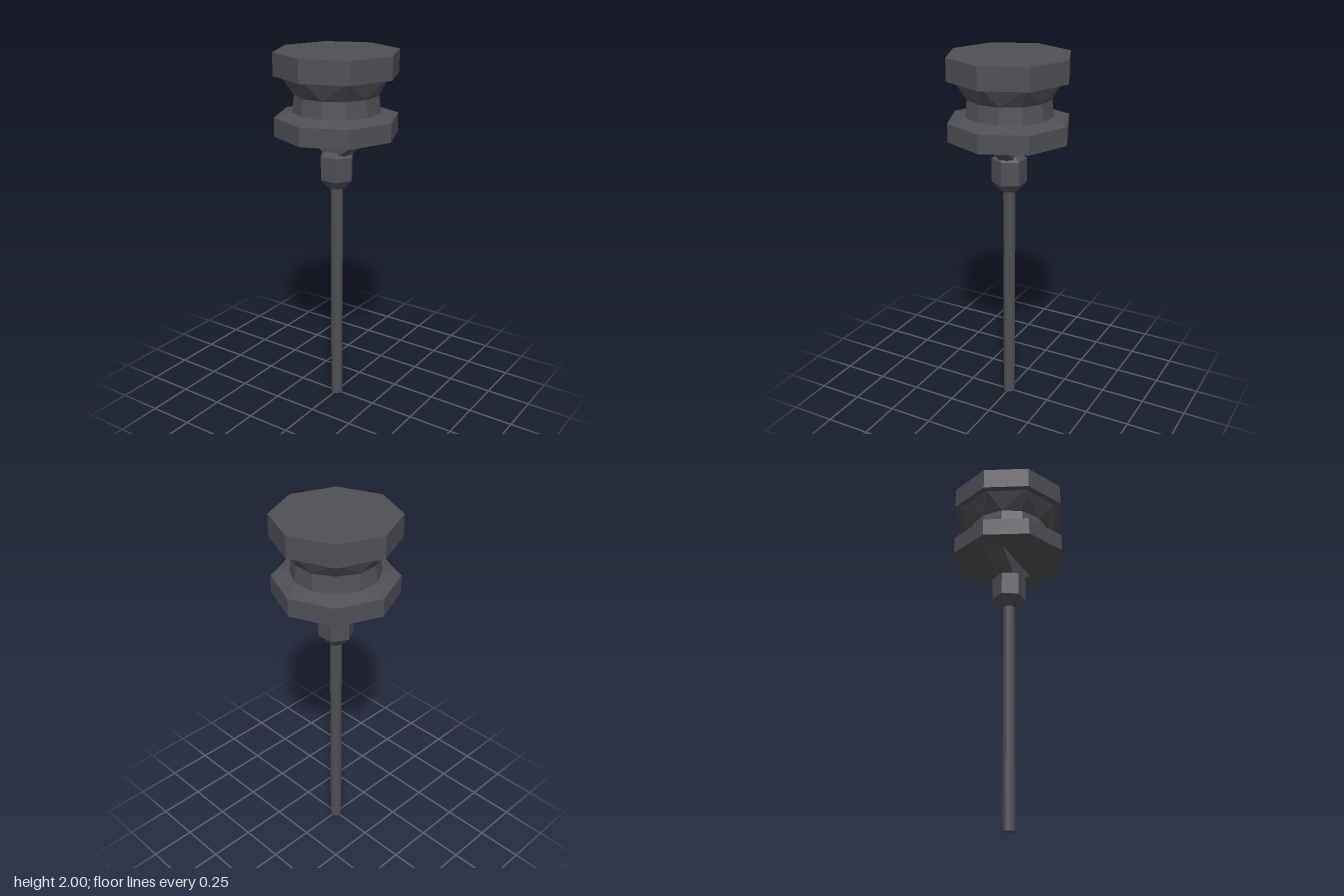
import * as THREE from 'three';
import { ConvexGeometry } from 'three/addons/geometries/ConvexGeometry.js';

const darkGrey = new THREE.MeshStandardMaterial({ color: 0x504f55, flatShading: true });
darkGrey.name = 'darkGrey';

// Ring of n points at height y; turn 0 puts the first point on +x
function ring(n, r, y, turn = 0) {
  return Array.from({ length: n }, (_, i) => {
    const a = turn + (i * 2 * Math.PI) / n;
    return new THREE.Vector3(r * Math.cos(a), y, r * Math.sin(a));
  });
}

export function createModel() {
  const group = new THREE.Group();

  const add = (name, geometry) => {
    const mesh = new THREE.Mesh(geometry, darkGrey);
    mesh.name = name;
    group.add(mesh);
  };
  // Straight or tapered prism with a corner on +x
  const prism = (name, sides, rTop, rBottom, y0, y1) => {
    const g = new THREE.CylinderGeometry(rTop, rBottom, y1 - y0, sides, 1, false, Math.PI / 2);
    g.translate(0, (y0 + y1) / 2, 0);
    add(name, g);
  };

  // Pole
  prism('pole', 12, 0.033, 0.033, 0, 1.28);

  // Six-sided collar with tapered ends
  prism('collarBottom', 6, 0.095, 0.05, 1.27, 1.32);
  prism('collar', 6, 0.095, 0.095, 1.32, 1.45);
  prism('collarTop', 6, 0.06, 0.095, 1.45, 1.475);

  // Bracket: an eight-sided stub that spreads sideways up to the lower disc
  const stub = ring(8, 0.054, 1.44, Math.PI / 8);
  const spread = stub.map((p) => new THREE.Vector3(p.x + Math.sign(p.x) * 0.175, 1.57, p.z));
  add('bracket', new ConvexGeometry([...stub, ...spread]));

  // Lower disc and its shallow bevel, turning from eight sides to twelve
  const turn = Math.PI / 12;
  prism('lowerDisc', 8, 0.332, 0.332, 1.565, 1.665);
  add('lowerBevel', new ConvexGeometry([...ring(8, 0.332, 1.665), ...ring(12, 0.236, 1.69, turn)]));

  // Twelve-sided waist
  add('waist', new ConvexGeometry([...ring(12, 0.236, 1.69, turn), ...ring(12, 0.225, 1.78, turn)]));

  // Flare up to the eight-sided top disc
  add('flare', new ConvexGeometry([...ring(12, 0.225, 1.78, turn), ...ring(8, 0.293, 1.88)]));
  prism('topDisc', 8, 0.332, 0.332, 1.88, 2);

  return group;
}
